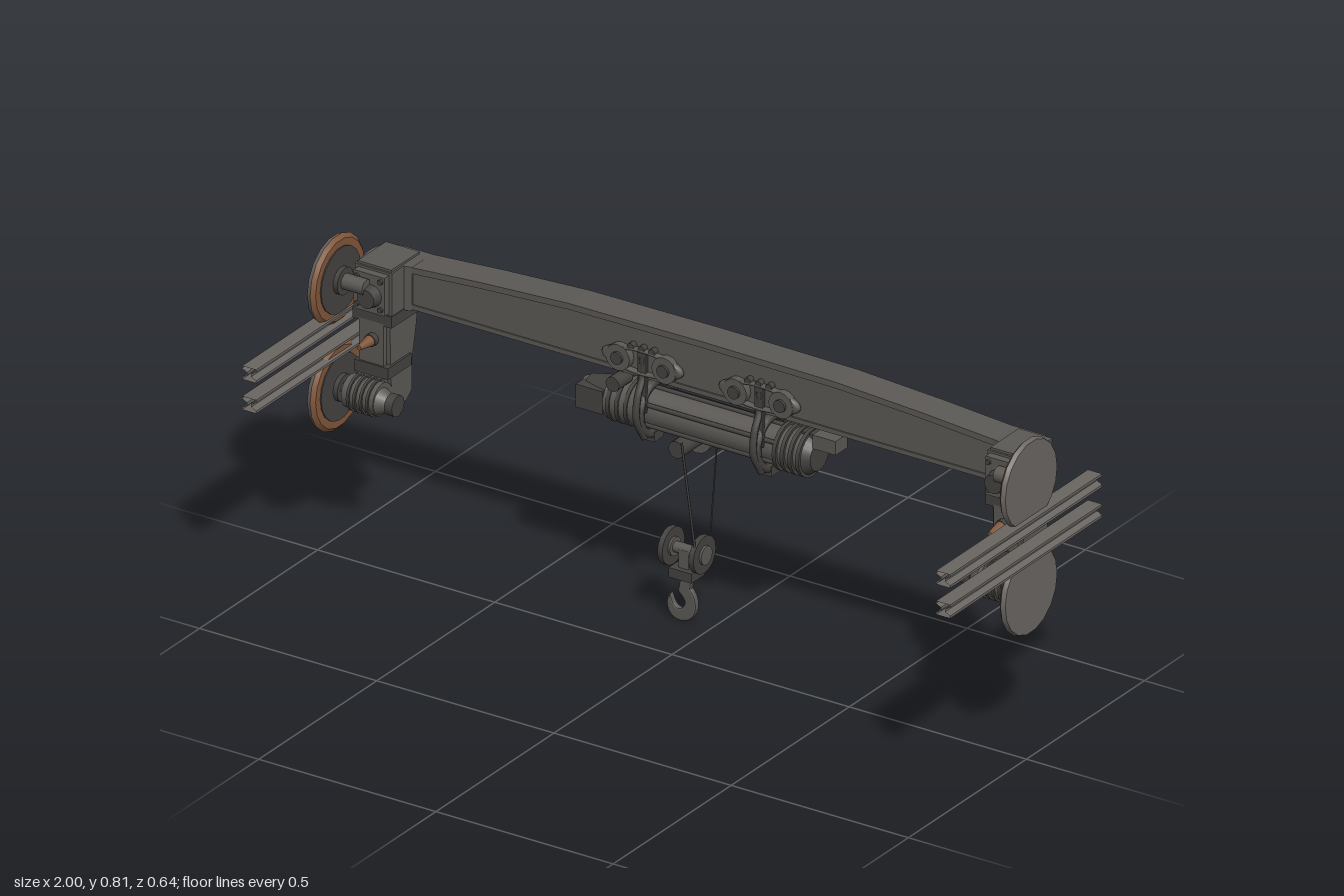
import * as THREE from 'three';

export function createModel() {
  const root = new THREE.Group();
  root.name = 'overheadCrane';
  const mat = (name, color, opts = {}) => {
    const m = new THREE.MeshStandardMaterial({ color, ...opts });
    m.name = name;
    return m;
  };
  const steel = mat('steel grey', 0x5c5955);
  const plate = mat('rail grey', 0x6a6662, { side: THREE.DoubleSide });
  const dark = mat('dark iron', 0x454340);
  const rust = mat('rust brown', 0x80563a);

  const add = (name, geo, m, p = [0, 0, 0], parent = root) => {
    const mesh = new THREE.Mesh(geo, m);
    mesh.name = name;
    mesh.position.set(...p);
    parent.add(mesh);
    return mesh;
  };
  const box = (name, m, x0, x1, y0, y1, z0, z1, parent) =>
    add(name, new THREE.BoxGeometry(x1 - x0, y1 - y0, z1 - z0), m, [(x0 + x1) / 2, (y0 + y1) / 2, (z0 + z1) / 2], parent);
  // Cylinders along x (r0 at the low x end) and along z
  const cylX = (name, m, x0, x1, y, z, r0, r1 = r0, parent = root, n = 16) =>
    add(name, new THREE.CylinderGeometry(r0, r1, x1 - x0, n).rotateZ(Math.PI / 2), m, [(x0 + x1) / 2, y, z], parent);
  const cylZ = (name, m, x, y, z0, z1, r0, r1 = r0, parent = root, n = 16) =>
    add(name, new THREE.CylinderGeometry(r1, r0, z1 - z0, n).rotateX(Math.PI / 2), m, [x, y, (z0 + z1) / 2], parent);
  const tube = (name, m, pts, r, parent = root, seg = 24) =>
    add(name, new THREE.TubeGeometry(new THREE.CatmullRomCurve3(pts.map(p => new THREE.Vector3(...p))), seg, r, 8), m, [0, 0, 0], parent);
  const extrude = (pts, depth) => new THREE.ExtrudeGeometry(
    new THREE.Shape(pts.map(p => new THREE.Vector2(...p))), { depth, bevelEnabled: false });

  // Main girder: cambered web with a flange above and below
  const topLine = [[0.87, 0.732], [0.62, 0.75], [0.38, 0.763], [0, 0.766], [-0.38, 0.763], [-0.62, 0.75], [-0.87, 0.732]];
  const low = dy => topLine.map(([x, y]) => [x, y - dy]).reverse();
  add('girderWeb', extrude([[-0.87, 0.635], [0.87, 0.635], ...low(0.008).reverse()], 0.076), steel, [0, 0, -0.209]);
  add('girderTopFlange', extrude([...topLine, ...low(0.016)], 0.086), steel, [0, 0, -0.215]);
  box('girderBottomFlange', steel, -0.85, 0.85, 0.626, 0.638, -0.215, -0.129);

  // Rails: open I sections without end caps
  const railGeometry = () => {
    const w = 0.02, h = 0.0175, t = 0.006, q = 0.011;
    const loop = [[-w, -h], [w, -h], [w, -q], [t, -0.004], [t, 0.004], [w, q], [w, h],
      [-w, h], [-w, q], [-t, 0.004], [-t, -0.004], [-w, -q]];
    const pos = [];
    loop.forEach(([x, y], i) => {
      const [u, v] = loop[(i + 1) % loop.length];
      pos.push(x, y, 0.322, x, y, -0.322, u, v, -0.322, x, y, 0.322, u, v, -0.322, u, v, 0.322);
    });
    const g = new THREE.BufferGeometry();
    g.setAttribute('position', new THREE.Float32BufferAttribute(pos, 3));
    g.computeVertexNormals();
    return g;
  };

  // End carriages, mirrored by a sign on every x position
  for (const s of [1, -1]) {
    const end = new THREE.Group();
    end.name = s > 0 ? 'leftEndCarriage' : 'rightEndCarriage';
    root.add(end);
    const bx = (n, m, x0, x1, ...r) => box(n, m, Math.min(s * x0, s * x1), Math.max(s * x0, s * x1), ...r, end);
    const cx = (n, m, x0, x1, y, z, ra, rb = ra, sides = 16) => s > 0
      ? cylX(n, m, x0, x1, y, z, ra, rb, end, sides) : cylX(n, m, -x1, -x0, y, z, rb, ra, end, sides);

    // Curved arm turning forward from the girder
    const arm = new THREE.Shape();
    arm.moveTo(0.82, 0.215);
    arm.lineTo(0.90, 0.215);
    arm.quadraticCurveTo(0.955, 0.21, 0.955, 0.15);
    arm.lineTo(0.945, 0.075);
    arm.lineTo(0.84, 0.075);
    arm.lineTo(0.84, 0.125);
    arm.lineTo(0.82, 0.129);
    const armPts = arm.getPoints(8).map(p => [p.x * s, p.y]);
    if (s < 0) armPts.reverse();
    add('curvedArm', extrude(armPts, 0.115).rotateX(-Math.PI / 2), steel, [0, 0.621, 0], end);
    bx('armCap', steel, 0.845, 0.94, 0.732, 0.742, -0.2, -0.08);

    // Leg, tapered toward the foot
    const legProfile = [[-0.08, 0.63], [-0.20, 0.63], [-0.195, 0.56], [-0.176, 0.47], [-0.176, 0.39], [-0.15, 0.37], [-0.09, 0.38]];
    const leg = extrude(legProfile.map(([z, y]) => [-z, y]), 0.085).rotateY(Math.PI / 2);
    add('leg', leg, steel, [s * 0.893 - 0.0425, 0, 0], end);
    bx('legCollar', dark, 0.838, 0.948, 0.595, 0.625, -0.185, -0.07);
    bx('legFrontPlate', steel, 0.86, 0.93, 0.45, 0.60, -0.082, -0.07);
    bx('legFoot', dark, 0.845, 0.94, 0.46, 0.49, -0.165, -0.065);
    cylZ('legPin', dark, s * 0.89, 0.555, -0.075, -0.055, 0.016, 0.016, end);
    cylZ('legPinTip', rust, s * 0.89, 0.555, -0.06, -0.01, 0.015, 0.006, end);

    // Bearing housing and bolts on the arm front
    bx('bearingHousing', steel, 0.848, 0.935, 0.63, 0.73, -0.08, -0.055);
    cylZ('bearingCap', dark, s * 0.885, 0.675, -0.06, -0.03, 0.03, 0.024, end);
    for (const [u, v] of [[0.858, 0.645], [0.925, 0.645], [0.858, 0.718], [0.925, 0.718]])
      cylZ('housingBolt', dark, s * u, v, -0.06, -0.048, 0.007, 0.007, end, 6);

    // Upper and lower wheels with a rusty inner rim
    for (const y of [0.70, 0.42]) {
      const z = -0.043;
      cx('wheelDisc', plate, 0.974, 0.985, y, z, 0.114, 0.11, 18);
      cx('wheelInnerRim', rust, 0.965, 0.974, y, z, 0.104, 0.114, 18);
      cx('wheelInnerFace', dark, 0.962, 0.967, y, z, 0.085, 0.085, 18);
      cx('wheelHub', dark, 0.95, 0.964, y, z, 0.035);
      cx('wheelAxle', steel, 0.89, 0.96, y, z, 0.02);
      add('rail', railGeometry(), plate, [s * 0.979, y > 0.5 ? 0.5975 : 0.518, 0], end);
    }

    // Drive motor on the lower axle
    cx('motorBody', steel, 0.85, 0.94, 0.415, -0.05, 0.042);
    for (const x of [0.862, 0.88, 0.898, 0.916]) cx('motorFin', dark, x, x + 0.007, 0.415, -0.05, 0.047);
    cx('motorNeck', steel, 0.825, 0.85, 0.412, -0.045, 0.022, 0.034);
    cx('motorCap', dark, 0.803, 0.825, 0.412, -0.045, 0.027);
    bx('motorMount', steel, 0.86, 0.93, 0.385, 0.46, -0.15, -0.06);
  }

  // Trolleys: oval side frames, wheels, bolts and hanger straps
  const HY = 0.533, HZ = -0.175;
  for (const x of [-0.165, 0.165]) {
    const trolley = new THREE.Group();
    trolley.name = 'trolley';
    root.add(trolley);
    for (const [z, d] of [[-0.124, 1], [-0.221, -1]]) {
      add('ovalFrame', new THREE.TorusGeometry(0.1, 0.016, 8, 28).scale(1, 0.3, 0.6), steel, [x, 0.67, z], trolley);
      for (const dx of [-0.065, 0.065]) {
        cylZ('trolleyWheel', steel, x + dx, 0.668, z - 0.01, z + 0.01, 0.034, 0.034, trolley);
        cylZ('trolleyWheelCap', dark, x + dx, 0.668, z + d * 0.012 - 0.005, z + d * 0.012 + 0.005, 0.016, 0.016, trolley);
      }
      for (const dx of [-0.03, 0, 0.03])
        cylZ('frameBolt', dark, x + dx, 0.705, z - 0.008, z + 0.008, 0.009, 0.009, trolley, 8);
      box('hangerPlate', dark, x - 0.012, x + 0.012, 0.54, 0.695, z - 0.005, z + 0.005, trolley);
      tube('hangerArm', dark, [[x, 0.685, z], [x, 0.64, z - d * 0.002], [x, 0.585, HZ + d * 0.074],
        [x, 0.53, HZ + d * 0.078], [x, 0.47, HZ + d * 0.045]], 0.009, trolley);
    }
    add('hoistStrap', new THREE.TorusGeometry(0.066, 0.012, 8, 24).rotateY(Math.PI / 2), dark, [x, HY, HZ], trolley);
    box('strapFoot', dark, x - 0.012, x + 0.012, 0.45, 0.475, HZ - 0.02, HZ + 0.02, trolley);
  }
  // Rear tie bar joining the trolleys
  box('rearTieBar', steel, -0.175, 0.175, 0.66, 0.69, -0.256, -0.243);
  for (const x of [-0.165, 0.165]) cylZ('tieBarSpacer', dark, x, 0.668, -0.248, -0.222, 0.026);

  // Hoist: drum, ribbed motor, gearbox and end boxes
  const hoist = new THREE.Group();
  hoist.name = 'hoist';
  root.add(hoist);
  const hx = (n, m, a, b, r0, r1) => cylX(n, m, a, b, HY, HZ, r0, r1, hoist, 20);
  hx('drum', steel, -0.18, 0.2, 0.052);
  hx('gearbox', steel, -0.275, -0.18, 0.058);
  hx('gearboxNeck', dark, -0.345, -0.275, 0.036, 0.05);
  hx('gearboxCap', steel, -0.36, -0.335, 0.028, 0.032);
  hx('motor', steel, 0.2, 0.28, 0.054);
  hx('motorEnd', dark, 0.28, 0.3, 0.054, 0.04);
  for (const x of [-0.26, -0.235, -0.21, 0.21, 0.232, 0.254, 0.276]) hx('coolingRib', dark, x - 0.005, x + 0.005, 0.061);
  for (let i = 0; i < 6; i++) {
    const a = (i / 6) * Math.PI * 2 + 0.5;
    cylX('drumTieRod', dark, -0.18, 0.21, HY + Math.sin(a) * 0.053, HZ + Math.cos(a) * 0.053, 0.006, 0.006, hoist, 8);
  }
  box('controlBox', steel, 0.3, 0.365, 0.562, 0.598, HZ - 0.02, HZ + 0.03, hoist);
  box('controlBracket', dark, 0.25, 0.31, 0.555, 0.59, HZ - 0.015, HZ + 0.015, hoist);
  box('gearboxSideBox', dark, -0.355, -0.28, 0.5, 0.56, HZ, HZ + 0.05, hoist);
  cylZ('gearboxKnob', dark, -0.235, 0.602, -0.16, -0.1, 0.019, 0.019, hoist);
  cylZ('ropeGuide', steel, -0.075, 0.462, -0.247, -0.215, 0.043, 0.043, hoist);
  cylZ('ropeGuideHub', dark, -0.075, 0.462, -0.25, -0.13, 0.022, 0.022, hoist);

  // Ropes down to the hook block
  tube('rearRope', dark, [[-0.033, 0.46, -0.242], [-0.025, 0.19, -0.196]], 0.002, root, 1);
  tube('frontRope', dark, [[-0.033, 0.51, -0.09], [-0.025, 0.19, -0.139]], 0.003, root, 1);

  // Hook block: two sheaves on an axle, a yoke and a hook
  const block = new THREE.Group();
  block.name = 'hookBlock';
  root.add(block);
  const BX = -0.07, BZ = -0.167;
  for (const s of [-1, 1]) {
    const x = BX + s * 0.044;
    cylX('sheave', dark, x - 0.007, x + 0.007, 0.187, BZ, 0.048, 0.048, block);
    cylX('sheaveHub', steel, x - 0.013, x + 0.013, 0.187, BZ, 0.024, 0.024, block);
  }
  cylX('sheaveAxle', steel, BX - 0.045, BX + 0.045, 0.187, BZ, 0.014, 0.014, block);
  box('yoke', steel, BX - 0.014, BX + 0.014, 0.14, 0.19, BZ - 0.014, BZ + 0.014, block);
  box('yokeFoot', dark, BX - 0.032, BX + 0.032, 0.118, 0.143, BZ - 0.028, BZ + 0.028, block);
  const hook = new THREE.Shape();
  hook.moveTo(-0.078, 0.12);
  hook.lineTo(-0.056, 0.12);
  hook.lineTo(-0.06, 0.088);
  hook.bezierCurveTo(-0.035, 0.065, -0.035, 0.01, -0.08, 0.004);
  hook.bezierCurveTo(-0.115, 0.002, -0.125, 0.035, -0.113, 0.058);
  hook.bezierCurveTo(-0.108, 0.03, -0.09, 0.022, -0.077, 0.032);
  hook.bezierCurveTo(-0.06, 0.048, -0.066, 0.06, -0.086, 0.078);
  add('hook', new THREE.ExtrudeGeometry(hook, { depth: 0.008, bevelThickness: 0.004, bevelSize: 0.004, bevelSegments: 2, curveSegments: 10 }),
    steel, [0, 0, BZ - 0.004], block);
  return root;
}
